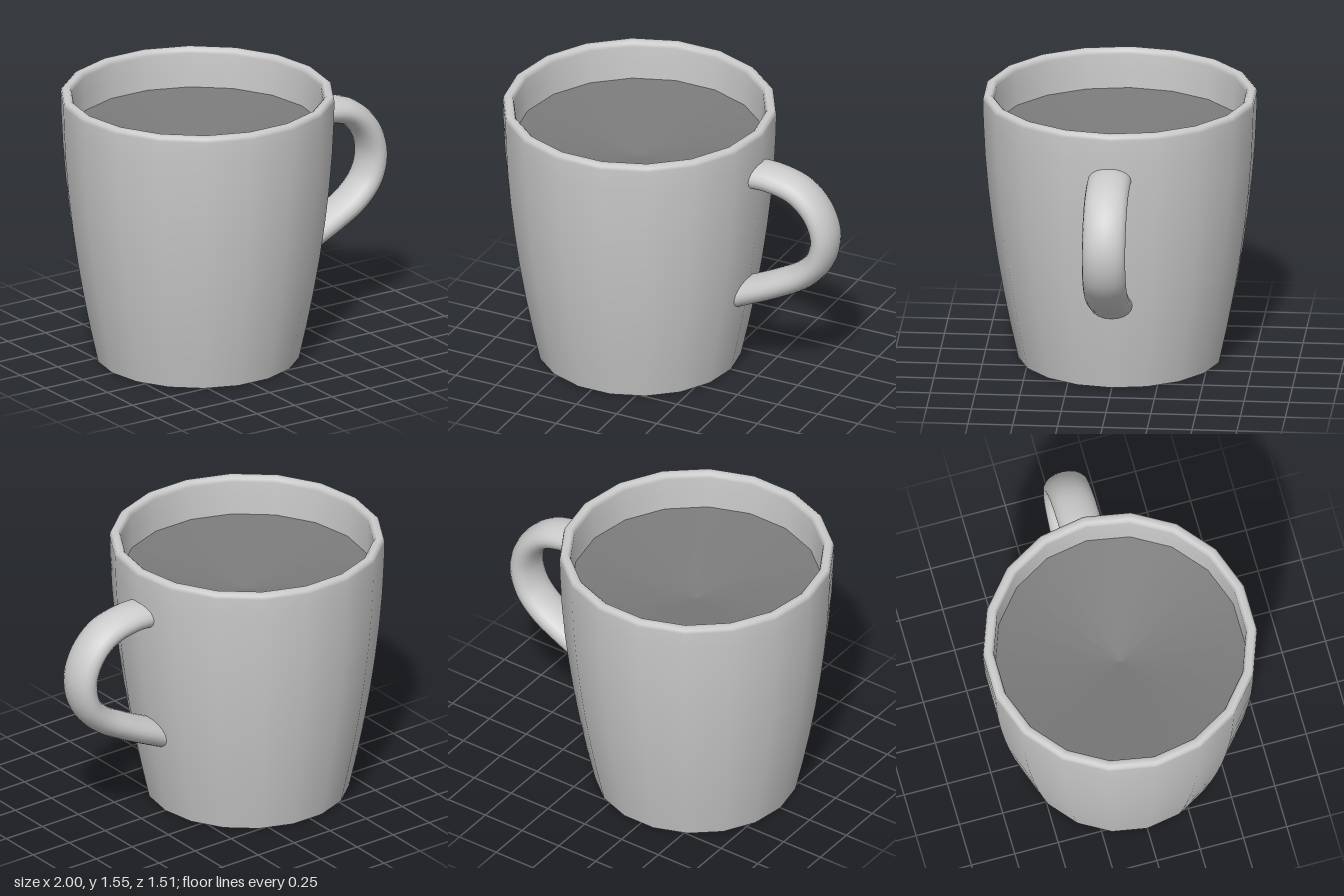
import * as THREE from 'three';

const SIDES = 18;
const CUP_X = -0.234; // the cup sits off centre, leaving room for the handle
const FILL_Y = 1.325;
const FILL_R = 0.697;

// Body of revolution with the cup's number of sides, from [radius, height] pairs
const turned = (points) => new THREE.LatheGeometry(
  points.map(([r, y]) => new THREE.Vector2(r, y)), SIDES, Math.PI / 2);

export function createModel() {
  const mug = new THREE.Group();
  mug.name = 'mug';
  const grey = new THREE.MeshStandardMaterial({ color: 0xcccccc });
  const dark = new THREE.MeshStandardMaterial({ color: 0x7a7a7a });

  const add = (name, geometry, material, x) => {
    const mesh = new THREE.Mesh(geometry, material);
    mesh.name = name;
    mesh.position.x = x;
    mug.add(mesh);
  };

  // Cup wall: up the outside, over the rounded rim and down the inside
  add('cupWall', turned([
    [0.568, 0], [0.612, 0.2], [0.651, 0.4], [0.685, 0.6], [0.713, 0.8],
    [0.736, 1], [0.753, 1.2], [0.763, 1.4], [0.766, 1.52],
    [0.762, 1.539], [0.749, 1.55], [0.721, 1.55], [0.709, 1.539], [0.704, 1.52],
    [0.7, 1.42], [FILL_R, FILL_Y],
  ]), grey, CUP_X);

  // Flat underside
  add('base', new THREE.CircleGeometry(0.568, SIDES).rotateX(Math.PI / 2), grey, CUP_X);

  // Dark surface inside the cup, dipping gently to the middle
  add('drink', turned([[FILL_R, FILL_Y], [0, FILL_Y - 0.12]]), dark, CUP_X);

  // Handle: a tube along a planar curve, widened to an oval section
  const path = new THREE.CatmullRomCurve3([
    [0.475, 1.277], [0.6, 1.277], [0.76, 1.235], [0.872, 1.13], [0.923, 0.985],
    [0.893, 0.835], [0.795, 0.718], [0.63, 0.619], [0.45, 0.533], [0.375, 0.498],
  ].map(([x, y]) => new THREE.Vector3(x, y, 0)));
  add('handle', new THREE.TubeGeometry(path, 40, 0.076, 20).scale(1, 1, 1.59), grey, 0);

  return mug;
}
